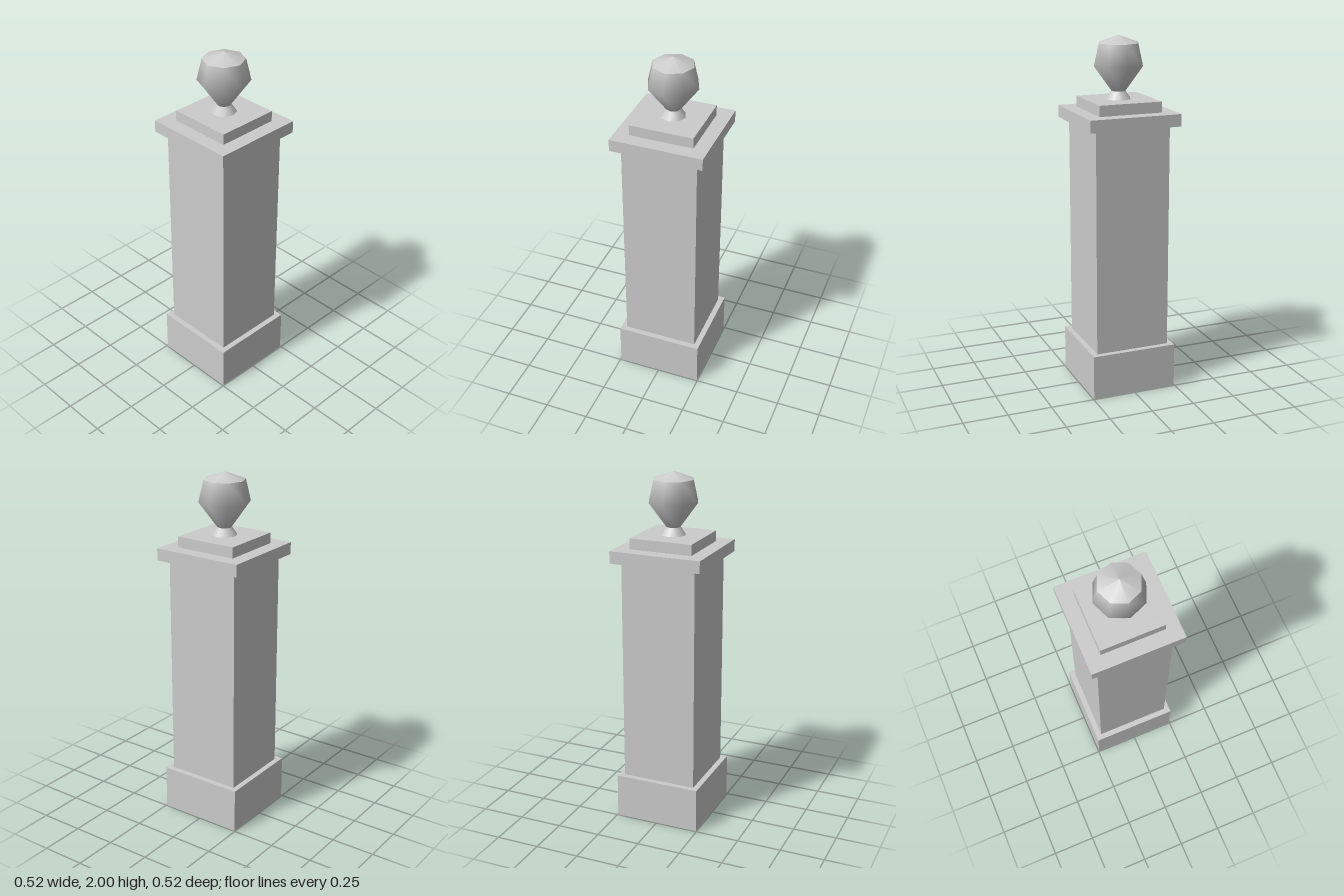
import * as THREE from 'three';

const material = new THREE.MeshStandardMaterial({ color: 0xcccccc });

// Square block centred on the axis, from height y0 to y1
function block(name, half, y0, y1) {
  const mesh = new THREE.Mesh(new THREE.BoxGeometry(half * 2, y1 - y0, half * 2), material);
  mesh.position.y = (y0 + y1) / 2;
  mesh.name = name;
  return mesh;
}

// Eight-sided turned piece; profile points are [radius, height], bottom to top
function turned(name, profile) {
  const points = profile.map(([r, y]) => new THREE.Vector2(r, y));
  const mesh = new THREE.Mesh(new THREE.LatheGeometry(points, 8), material);
  mesh.name = name;
  return mesh;
}

export function createModel() {
  const model = new THREE.Group();
  model.name = 'gatePillar';

  // Square pillar
  model.add(
    block('base', 0.246, 0, 0.255),
    block('shaft', 0.214, 0.255, 1.525),
    block('capSlab', 0.261, 1.525, 1.593),
    block('finialPlinth', 0.18, 1.593, 1.653),
  );

  // Finial, split where its edges are sharp
  const finial = new THREE.Group();
  finial.name = 'finial';
  finial.add(
    turned('finialFoot', [[0.07, 1.653], [0.04, 1.697]]),
    turned('finialBody', [[0.04, 1.697], [0.143, 1.837], [0.115, 1.958]]),
    turned('finialTop', [[0.115, 1.958], [0, 2]]),
  );
  model.add(finial);
  return model;
}
